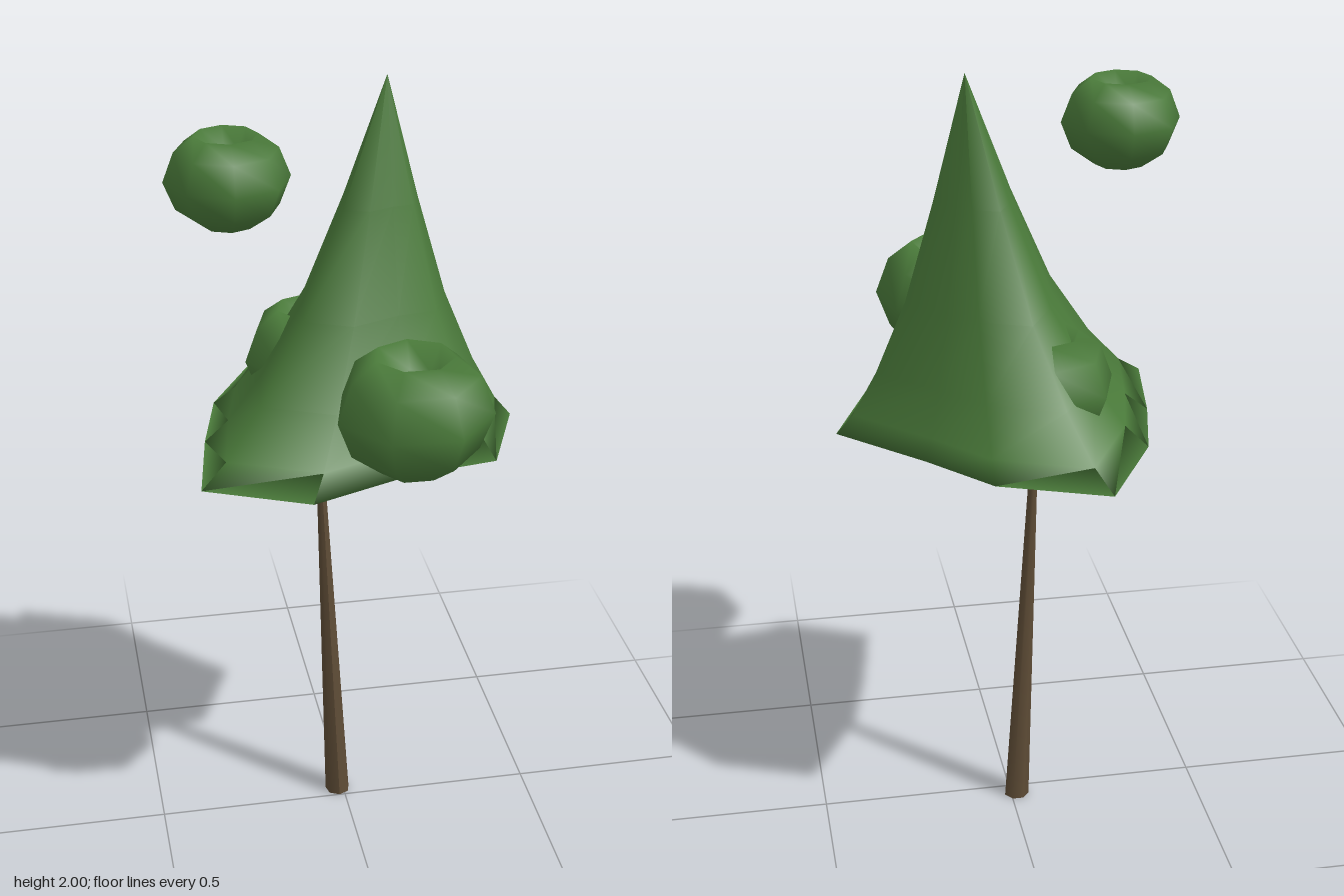
import * as THREE from 'three';

const leaf = new THREE.MeshStandardMaterial({ color: 0x4a7a3a, side: THREE.DoubleSide });
const bark = new THREE.MeshStandardMaterial({ color: 0x5e4c36 });

function add(group, name, geometry, material) {
  const mesh = new THREE.Mesh(geometry, material);
  mesh.name = name;
  group.add(mesh);
  return mesh;
}

// Rings of the irregular rim, shrinking toward an off-centre tip in a flared curve
function crownGeometry() {
  const apex = [0.115, -0.075];
  const rim = [
    [-0.16, -0.49], [0.1, -0.39], [0.24, -0.23], [0.435, -0.035], [0.335, 0.215],
    [0.12, 0.25], [-0.14, 0.355], [-0.39, 0.24], [-0.35, -0.02], [-0.3, -0.24],
  ];
  const rows = [[1.11, 1], [1.16, 0.87], [1.27, 0.685], [1.45, 0.455], [1.7, 0.235], [2, 0]];
  const n = rim.length, pos = [], idx = [];
  for (const [y, s] of rows) {
    for (const [x, z] of rim) {
      pos.push(apex[0] + (x - apex[0]) * s, y, apex[1] + (z - apex[1]) * s);
    }
  }
  for (let r = 0; r < rows.length - 1; r++) {
    for (let j = 0; j < n; j++) {
      const a = r * n + j, b = r * n + (j + 1) % n;
      idx.push(a, a + n, b);
      if (r < rows.length - 2) idx.push(b, a + n, b + n);
    }
  }
  // Underside, sharing the rim for a soft edge
  const centre = pos.length / 3;
  pos.push(0, 1.11, -0.04);
  for (let j = 0; j < n; j++) idx.push(centre, j, (j + 1) % n);
  const g = new THREE.BufferGeometry();
  g.setAttribute('position', new THREE.Float32BufferAttribute(pos, 3));
  g.setIndex(idx);
  g.computeVertexNormals();
  return g;
}

// Round leaf clump with a dented top; profile is [radius, height] from the bottom up
function clumpGeometry(radius, height, sides, start) {
  const profile = [[0, -0.5], [0.42, -0.46], [0.82, -0.27], [1, 0.03], [0.82, 0.34], [0.5, 0.5], [0.3, 0.3], [0, 0.24]];
  const pts = profile.map(([r, y]) => new THREE.Vector2(r * radius, y * height));
  return new THREE.LatheGeometry(pts, sides, start);
}

export function createModel() {
  const group = new THREE.Group();
  group.name = 'tree';

  // Slender leaning trunk
  const trunk = new THREE.CylinderGeometry(0.01, 0.033, 1.02, 7);
  trunk.translate(0, 0.51, 0);
  const p = trunk.attributes.position;
  for (let i = 0; i < p.count; i++) {
    const t = p.getY(i) / 1.02;
    p.setX(i, p.getX(i) - 0.015 - 0.041 * t);
    p.setZ(i, p.getZ(i) - 0.033 - 0.012 * t);
  }
  trunk.computeVertexNormals();
  add(group, 'trunk', trunk, bark);

  add(group, 'crown', crownGeometry(), leaf);

  // Leaf clumps: name, radius, height, sides, start angle, position
  const clumps = [
    ['frontClump', 0.19, 0.3, 7, -0.47, 0.1, 1.31, 0.33],
    ['upperClump', 0.147, 0.22, 8, 0, -0.29, 1.82, 0.095],
    ['innerClump', 0.175, 0.27, 7, 0.37, -0.055, 1.255, -0.165],
  ];
  for (const [name, r, h, sides, start, x, y, z] of clumps) {
    add(group, name, clumpGeometry(r, h, sides, start), leaf).position.set(x, y, z);
  }
  return group;
}
